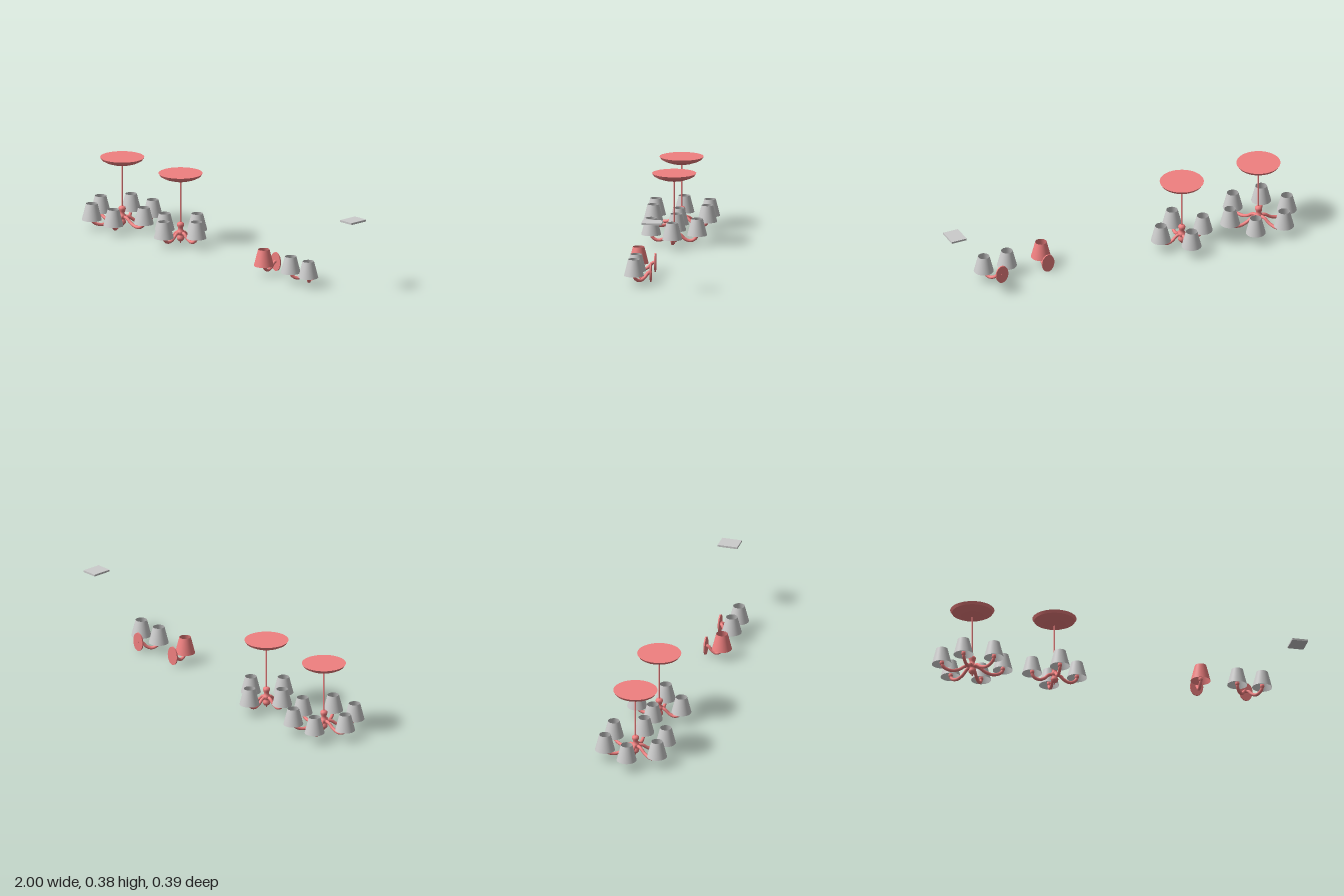
import * as THREE from 'three';

const paint = new THREE.MeshStandardMaterial({ color: 0xf08080, side: THREE.DoubleSide });
const grey = new THREE.MeshStandardMaterial({ color: 0xcccccc, side: THREE.DoubleSide });

function add(parent, name, geometry, material, x = 0, y = 0, z = 0) {
  const mesh = new THREE.Mesh(geometry, material);
  mesh.name = name;
  mesh.position.set(x, y, z);
  parent.add(mesh);
  return mesh;
}

function lathe(points, segments = 32) {
  return new THREE.LatheGeometry(points.map(([r, y]) => new THREE.Vector2(r, y)), segments);
}

// Curved arm along +z from radius r0 to r1, carrying a cup and an open shade
function makeArm(r0, r1, shadeMaterial) {
  const arm = new THREE.Group();
  arm.name = 'lampArm';
  const at = (t, y) => new THREE.Vector3(0, y, r0 + (r1 - r0) * t);
  const path = new THREE.CatmullRomCurve3([
    at(0, 0.06), at(0.17, 0.055), at(0.38, 0.034), at(0.62, 0.023),
    at(0.84, 0.029), at(0.97, 0.044), at(1, 0.06),
  ]);
  add(arm, 'armTube', new THREE.TubeGeometry(path, 32, 0.0085, 12), paint);
  add(arm, 'cup', lathe([[0, 0.05], [0.009, 0.051], [0.012, 0.06], [0.01, 0.07], [0, 0.07]], 16), paint, 0, 0, r1);
  add(arm, 'shade', new THREE.CylinderGeometry(0.03, 0.052, 0.087, 32, 1, true), shadeMaterial, 0, 0.0965, r1);
  return arm;
}

// Hanging lamp with a ceiling bowl, rod, turned hub and a ring of arms
function makeChandelier(name, x, count, radius) {
  const lamp = new THREE.Group();
  lamp.name = name;
  lamp.position.x = x;
  add(lamp, 'canopyBowl', lathe([
    [0, 0.339], [0.025, 0.34], [0.055, 0.345], [0.085, 0.355], [0.106, 0.366],
  ], 40), paint);
  add(lamp, 'canopyRim', new THREE.CylinderGeometry(0.115, 0.106, 0.014, 40), paint, 0, 0.373, 0);
  add(lamp, 'rod', new THREE.CylinderGeometry(0.004, 0.004, 0.245, 12), paint, 0, 0.2225, 0);
  add(lamp, 'hub', lathe([
    [0, 0.003], [0.003, 0.005], [0.004, 0.012], [0.012, 0.016], [0.019, 0.025],
    [0.02, 0.033], [0.016, 0.043], [0.012, 0.049], [0.018, 0.054], [0.021, 0.062],
    [0.018, 0.07], [0.012, 0.077], [0.014, 0.088], [0.019, 0.1], [0.018, 0.109],
    [0.011, 0.115], [0, 0.117],
  ], 24), paint);
  for (let i = 0; i < count; i++) {
    const arm = makeArm(0.012, radius, grey);
    arm.rotation.y = Math.PI / 2 + (i * 2 * Math.PI) / count;
    lamp.add(arm);
  }
  return lamp;
}

// Wall lamp: oval back plate with one arm per given angle
function makeSconce(name, x, angles, reach, shadeMaterial) {
  const lamp = new THREE.Group();
  lamp.name = name;
  lamp.position.set(x, 0, 0.032);
  const plate = add(lamp, 'wallPlate', new THREE.CylinderGeometry(0.05, 0.05, 0.007, 32), paint, 0, 0.058, 0);
  plate.rotation.x = Math.PI / 2;
  plate.scale.x = 0.7;
  for (const angle of angles) {
    const arm = makeArm(0, reach, shadeMaterial);
    arm.rotation.y = angle;
    lamp.add(arm);
  }
  return lamp;
}

export function createModel() {
  const model = new THREE.Group();
  model.name = 'lampSet';
  model.add(
    makeChandelier('sixArmChandelier', -0.785, 6, 0.163),
    makeChandelier('fourArmChandelier', -0.345, 4, 0.12),
    makeSconce('singleSconce', 0.408, [0], 0.087, paint),
    makeSconce('doubleSconce', 0.672, [-0.68, 0.68], 0.106, grey),
  );
  // Separate flat slab
  add(model, 'slab', new THREE.BoxGeometry(0.085, 0.01, 0.106), grey, 0.9575, 0.38, 0);
  return model;
}
